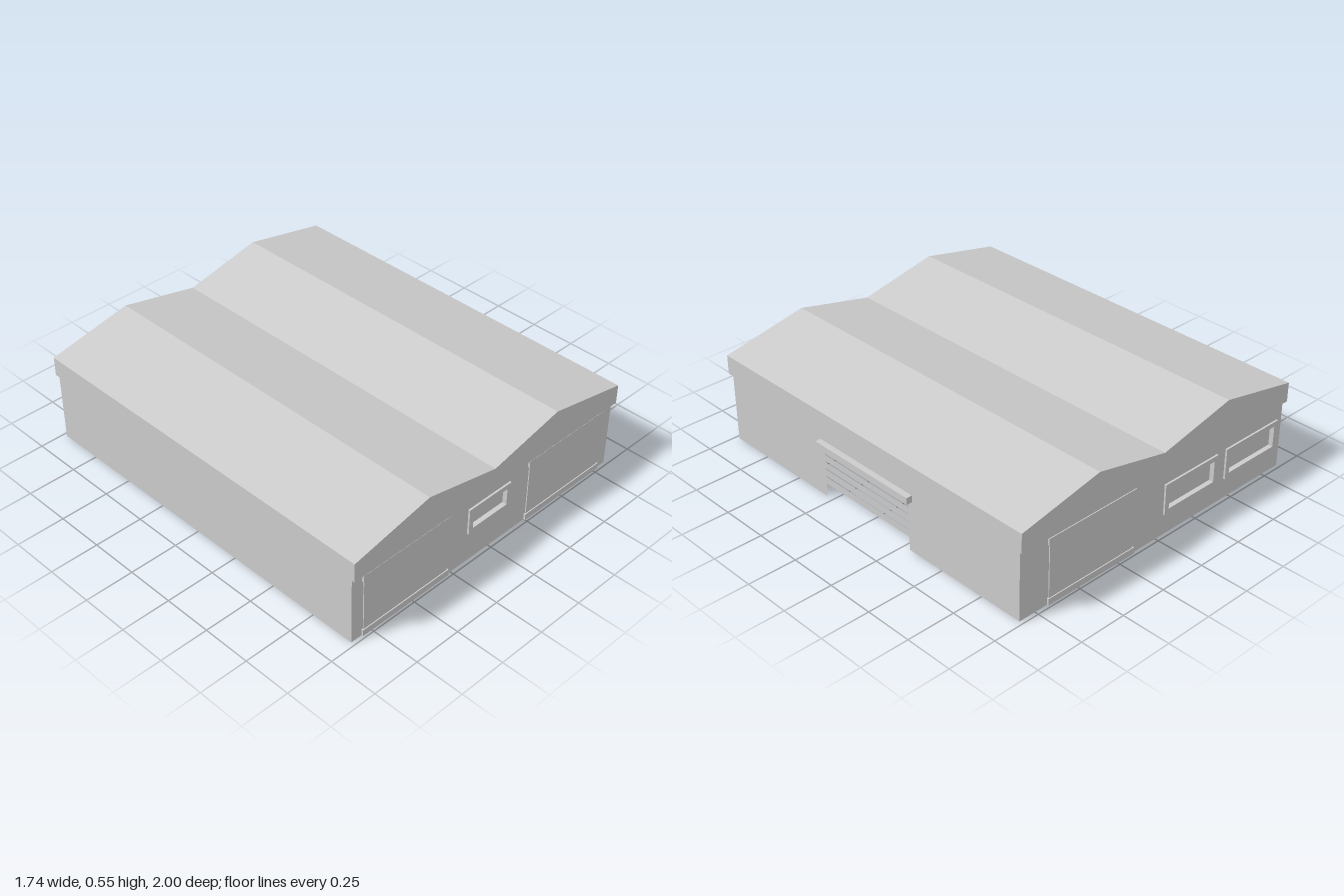
import * as THREE from 'three';

const X0 = -0.865, X1 = 0.84, Z = 0.98, EAVE = 0.36;
const material = new THREE.MeshStandardMaterial({ color: 0xcccccc, flatShading: true, side: THREE.DoubleSide });

function add(parent, name, geometry, x = 0, y = 0, z = 0) {
  const mesh = new THREE.Mesh(geometry, material);
  mesh.name = name;
  mesh.position.set(x, y, z);
  parent.add(mesh);
  return mesh;
}

const outline = (points) => points.map(([x, y]) => new THREE.Vector2(x, y));
const rect = (x0, x1, y0, y1) => [[x0, y0], [x1, y0], [x1, y1], [x0, y1]];

function sheet(points, holes = []) {
  const shape = new THREE.Shape(outline(points));
  shape.holes = holes.map((h) => new THREE.Path(outline(h)));
  return shape;
}

// Shallow hollow pressing: a box without its rear face, standing out from z = 0
function tray(parent, name, x0, x1, y0, y1, depth) {
  const box = new THREE.BoxGeometry(x1 - x0, y1 - y0, depth);
  box.setIndex(Array.from(box.index.array).slice(0, 30));
  return add(parent, name, box, (x0 + x1) / 2, (y0 + y1) / 2, depth / 2);
}

// Door with a wider rail at the top and bottom; returns the hole it needs in the wall
function door(parent, x0, x1) {
  const a = x0 + 0.008, b = x1 - 0.008, low = 0.035, high = 0.31, top = 0.345;
  const group = new THREE.Group();
  group.name = 'door';
  parent.add(group);
  tray(group, 'doorPanel', a, b, low, high, 0.005);
  tray(group, 'doorTopRail', x0, x1, high, top, 0.01);
  tray(group, 'doorBottomRail', x0, x1, 0.002, low, 0.01);
  return [[x0, 0.002], [x1, 0.002], [x1, low], [b, low], [b, high], [x1, high],
    [x1, top], [x0, top], [x0, high], [a, high], [a, low], [x0, low]];
}

// Window with a proud frame and a recessed pane; returns the hole it needs
function windowUnit(parent, x0, x1, y0, y1) {
  const t = 0.025;
  const group = new THREE.Group();
  group.name = 'window';
  parent.add(group);
  const ring = sheet(rect(x0, x1, y0, y1), [rect(x0 + t, x1 - t, y0 + t, y1 - t)]);
  add(group, 'windowFrame', new THREE.ExtrudeGeometry(ring, { depth: 0.025, bevelEnabled: false }), 0, 0, -0.015);
  add(group, 'windowPane', new THREE.ShapeGeometry(sheet(rect(x0 + t, x1 - t, y0 + t, y1 - t))), 0, 0, -0.014);
  return rect(x0, x1, y0, y1);
}

function wallGroup(root, name, x, z, turn) {
  const group = new THREE.Group();
  group.name = name;
  group.position.set(x, 0, z);
  group.rotation.y = turn;
  root.add(group);
  return group;
}

export function createModel() {
  const root = new THREE.Group();
  root.name = 'shed';

  // Front wall: a window between two doors
  const front = wallGroup(root, 'frontWall', 0, Z, 0);
  const frontHoles = [door(front, -0.805, -0.272), door(front, 0.247, 0.778),
    windowUnit(front, -0.15, 0.125, 0.16, 0.3)];
  add(front, 'frontWallSheet', new THREE.ShapeGeometry(sheet(rect(X0, X1, 0, EAVE), frontHoles)));

  // Back wall, with local x mirrored: one door and two windows
  const back = wallGroup(root, 'backWall', 0, -Z, Math.PI);
  const backHoles = [door(back, -0.68, -0.15), windowUnit(back, 0.045, 0.4, 0.11, 0.27),
    windowUnit(back, 0.46, 0.83, 0.11, 0.27)];
  add(back, 'backWallSheet', new THREE.ShapeGeometry(sheet(rect(-X1, -X0, 0, EAVE), backHoles)));

  // Left wall: opening at the ground, slots above it and a hood
  const left = wallGroup(root, 'leftWall', X1, 0, Math.PI / 2);
  const slots = [0.11, 0.15, 0.19, 0.23].map((y) => rect(-0.29, 0.29, y - 0.004, y + 0.004));
  const notched = [[-Z, 0], [-0.29, 0], [-0.29, 0.07], [0.29, 0.07], [0.29, 0], [Z, 0], [Z, EAVE], [-Z, EAVE]];
  add(left, 'leftWallSheet', new THREE.ShapeGeometry(sheet(notched, slots)));
  add(left, 'shutterHood', new THREE.BoxGeometry(0.63, 0.035, 0.03), 0, 0.284, 0.015);

  // Plain right wall
  const right = wallGroup(root, 'rightWall', X0, 0, -Math.PI / 2);
  add(right, 'rightWallSheet', new THREE.ShapeGeometry(sheet(rect(-Z, Z, 0, EAVE))));

  // Hollow roof: double-ridged skin, gables and side fascias
  const section = [[-0.87, EAVE], [-0.87, 0.46], [-0.43, 0.55], [-0.01, 0.46], [0.4, 0.55], [0.85, 0.46], [0.85, EAVE]];
  const positions = [];
  for (let i = 0; i < section.length - 1; i++) {
    const [ax, ay] = section[i], [bx, by] = section[i + 1];
    positions.push(ax, ay, 1, bx, by, 1, bx, by, -1, ax, ay, 1, bx, by, -1, ax, ay, -1);
  }
  const skin = new THREE.BufferGeometry();
  skin.setAttribute('position', new THREE.Float32BufferAttribute(positions, 3));
  skin.computeVertexNormals();
  add(root, 'roofSkin', skin);
  add(root, 'frontGable', new THREE.ShapeGeometry(sheet(section)), 0, 0, 1);
  add(root, 'backGable', new THREE.ShapeGeometry(sheet(section)), 0, 0, -1).scale.set(1, 1, -1);

  // Soffit ring joining the walls to the roof edge
  const soffit = sheet(rect(-0.87, 0.85, -1, 1), [rect(X0, X1, -Z, Z)]);
  add(root, 'soffit', new THREE.ShapeGeometry(soffit), 0, EAVE, 0).rotation.x = Math.PI / 2;

  return root;
}
